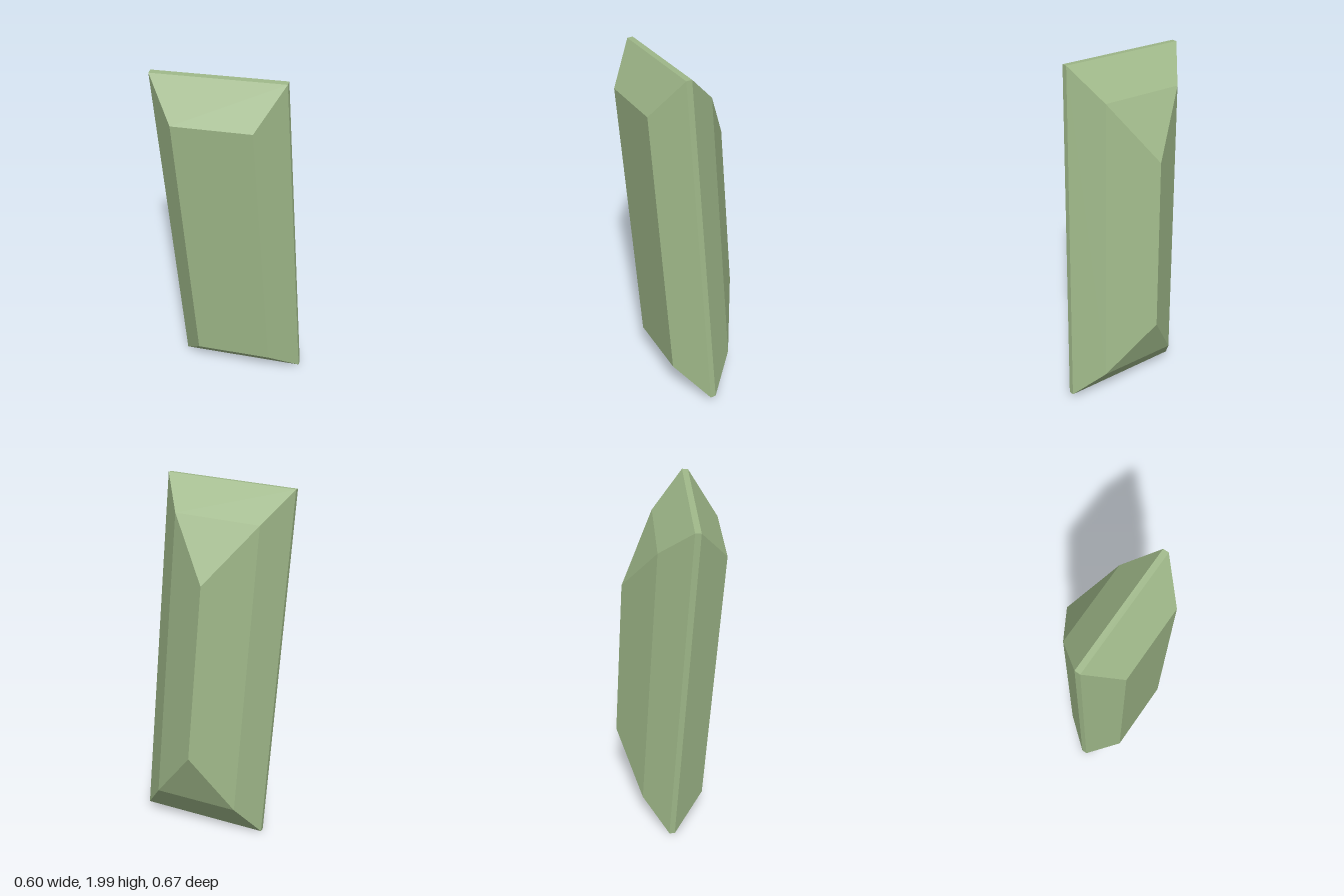
import * as THREE from 'three';

// Rectangular outline at one depth of the stone, counter-clockwise seen from the table
function ring([depth, halfWidth, halfLength]) {
  return [[-1, -1], [1, -1], [1, 1], [-1, 1]].map(
    ([sx, sy]) => new THREE.Vector3(sx * halfWidth, sy * halfLength, depth));
}

// Facets are split into triangles; those collapsed at the keel are dropped
function facetMesh(name, quads, material) {
  const points = [];
  for (const [a, b, c, d] of quads) {
    for (const tri of [[a, b, c], [a, c, d]]) {
      if (new THREE.Triangle(...tri).getArea() > 1e-6) points.push(...tri);
    }
  }
  const geometry = new THREE.BufferGeometry().setFromPoints(points);
  geometry.computeVertexNormals();
  const mesh = new THREE.Mesh(geometry, material);
  mesh.name = name;
  return mesh;
}

// Four facets joining a lower outline to the one above it
function band(name, lower, upper, material) {
  const a = ring(lower), b = ring(upper);
  const quads = a.map((p, i) => [p, a[(i + 1) % 4], b[(i + 1) % 4], b[i]]);
  return facetMesh(name, quads, material);
}

export function createModel() {
  const material = new THREE.MeshStandardMaterial({ color: 0x9fb889, flatShading: true });

  // Outlines from back to front: depth, half width, half length
  const keel = [-0.342, 0, 0.482];
  const step = [-0.187, 0.232, 0.802];
  const girdleBack = [-0.031, 0.353, 0.979];
  const girdleFront = [0, 0.353, 0.979];
  const table = [0.157, 0.212, 0.782];

  const stone = new THREE.Group();
  stone.name = 'baguetteGem';
  stone.add(
    band('lowerPavilion', keel, step, material),
    band('upperPavilion', step, girdleBack, material),
    band('girdle', girdleBack, girdleFront, material),
    band('crown', girdleFront, table, material),
    facetMesh('table', [ring(table)], material),
  );

  // Tilt of the stone: its width, length and table directions
  const length = new THREE.Vector3(-0.0077, 0.9964, 0.082).normalize();
  const facing = new THREE.Vector3(0.605, -0.061, 0.794).normalize();
  const width = new THREE.Vector3().crossVectors(length, facing).normalize();
  facing.crossVectors(width, length);
  stone.quaternion.setFromRotationMatrix(new THREE.Matrix4().makeBasis(width, length, facing));
  stone.position.set(0.0085, 0.999, 0.018);

  const model = new THREE.Group();
  model.name = 'gemstone';
  model.add(stone);
  return model;
}
